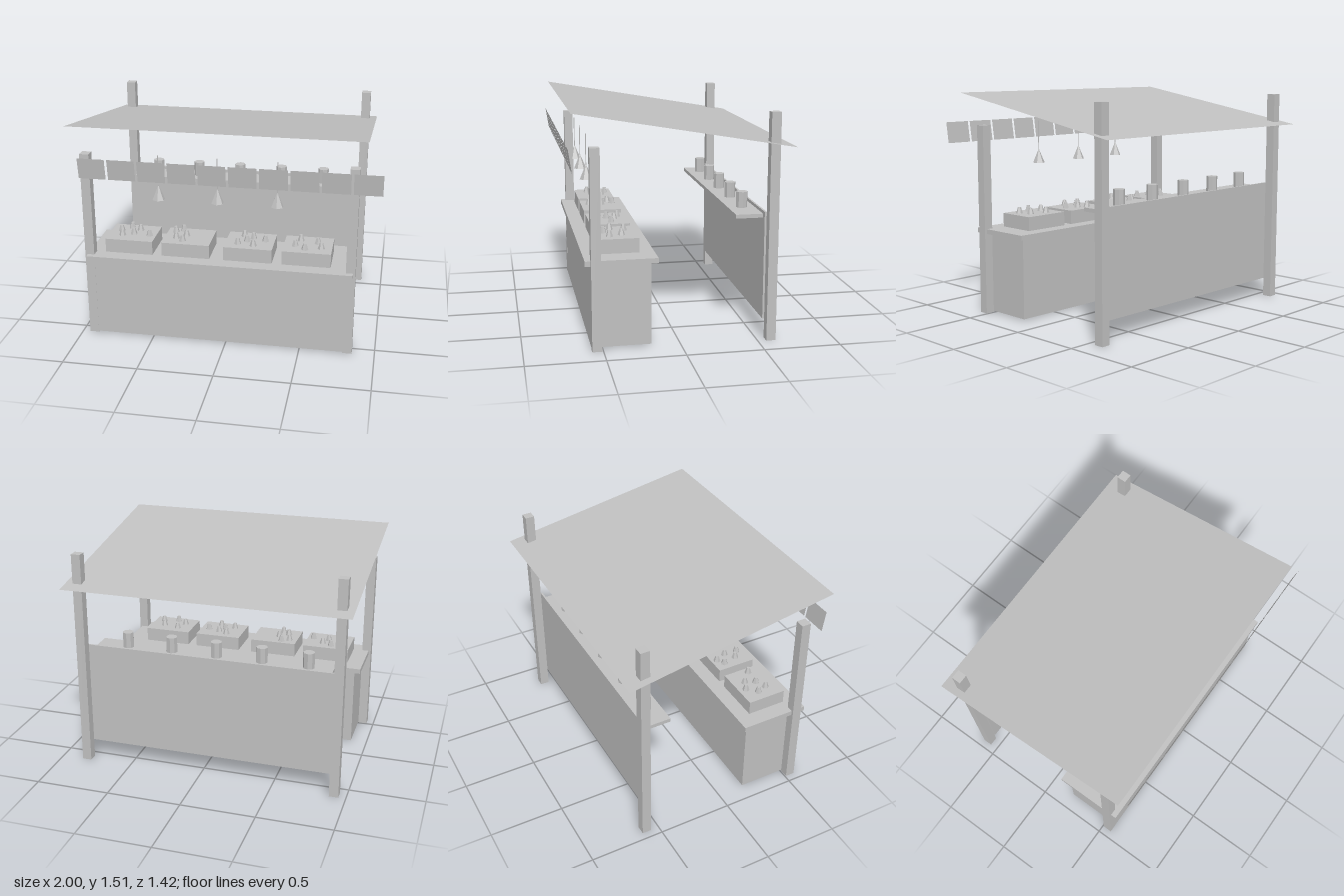
import * as THREE from 'three';

export function createModel() {
  const stall = new THREE.Group();
  stall.name = 'marketStall';
  const grey = new THREE.MeshStandardMaterial({ color: 0xc0c0c0, flatShading: true, side: THREE.DoubleSide });
  grey.name = 'plain grey';

  const add = (name, geometry, x, y, z, parent = stall) => {
    const mesh = new THREE.Mesh(geometry, grey);
    mesh.name = name;
    mesh.position.set(x, y, z);
    parent.add(mesh);
    return mesh;
  };
  // Box given by its min and max on each axis
  const box = (name, [x0, x1], [y0, y1], [z0, z1], parent) =>
    add(name, new THREE.BoxGeometry(x1 - x0, y1 - y0, z1 - z0),
      (x0 + x1) / 2, (y0 + y1) / 2, (z0 + z1) / 2, parent);

  const centre = -0.05;

  // Four posts, taller at the back
  for (const side of [-1, 1]) {
    const x = centre + side * 0.87;
    const label = side > 0 ? 'Left' : 'Right';
    box('frontPost' + label, [x - 0.031, x + 0.031], [0, 1.29], [0.508, 0.571]);
    box('backPost' + label, [x - 0.031, x + 0.031], [0, 1.48], [-0.617, -0.555]);
  }

  // Counter
  box('counterBody', [-0.89, 0.79], [0.008, 0.553], [0.185, 0.57]);
  box('counterTop', [-0.935, 0.835], [0.553, 0.586], [0.147, 0.608]);

  // Back panel and shelf
  box('backPanel', [-0.89, 0.79], [0.13, 0.84], [-0.555, -0.542]);
  box('shelf', [-0.855, 0.755], [0.795, 0.82], [-0.542, -0.365]);

  // Jars on the shelf
  const jar = new THREE.CylinderGeometry(0.038, 0.038, 0.105, 8);
  for (let i = 0; i < 5; i++) add('jar', jar, -0.695 + i * 0.309, 0.872, -0.458);

  // Crates with produce, each item given as [x, z] from the crate centre
  const produce = new THREE.CylinderGeometry(0.011, 0.025, 0.045, 6);
  const crates = [
    [-0.665, [[-0.09, -0.02], [-0.065, 0.05], [-0.03, -0.08], [0.005, 0.02], [0.035, -0.05], [0.118, 0.03]]],
    [-0.28, [[-0.105, -0.06], [-0.08, 0.04], [-0.055, -0.09], [-0.03, 0.08], [-0.02, -0.01]]],
    [0.138, [[-0.078, 0.06], [-0.05, -0.07], [-0.02, 0.01], [0.015, -0.04], [0.03, 0.08], [0.1, -0.01]]],
    [0.525, [[-0.085, 0.03], [-0.055, -0.06], [-0.015, 0.08], [0.06, -0.03], [0.09, 0.05]]],
  ];
  for (const [cx, items] of crates) {
    const crate = new THREE.Group();
    crate.name = 'produceCrate';
    stall.add(crate);
    box('crateBox', [cx - 0.161, cx + 0.161], [0.586, 0.68], [0.245, 0.511], crate);
    items.forEach(([x, z], i) => {
      add('produce', produce, cx + x, 0.699, 0.375 + z, crate).rotation.y = i * 0.7;
    });
  }

  // Sloping awning, higher at the front
  add('awning', new THREE.PlaneGeometry(1.9, 1.414).rotateX(-Math.PI / 2 - 0.171), centre, 1.386, -0.015);

  // Row of valance flaps leaning slightly forward at the top
  const flap = new THREE.PlaneGeometry(0.178, 0.141).rotateX(0.15);
  for (let i = 0; i < 10; i++) add('valanceFlap', flap, -0.83 + i * 0.1934, 1.24, 0.7);

  // Hanging lamps
  const shade = new THREE.ConeGeometry(0.042, 0.1, 6);
  const cord = new THREE.CylinderGeometry(0.003, 0.003, 0.21, 5);
  for (const x of [-0.44, -0.052, 0.335]) {
    add('lampShade', shade, x, 1.05, 0.538);
    add('lampCord', cord, x, 1.195, 0.538);
  }
  return stall;
}
